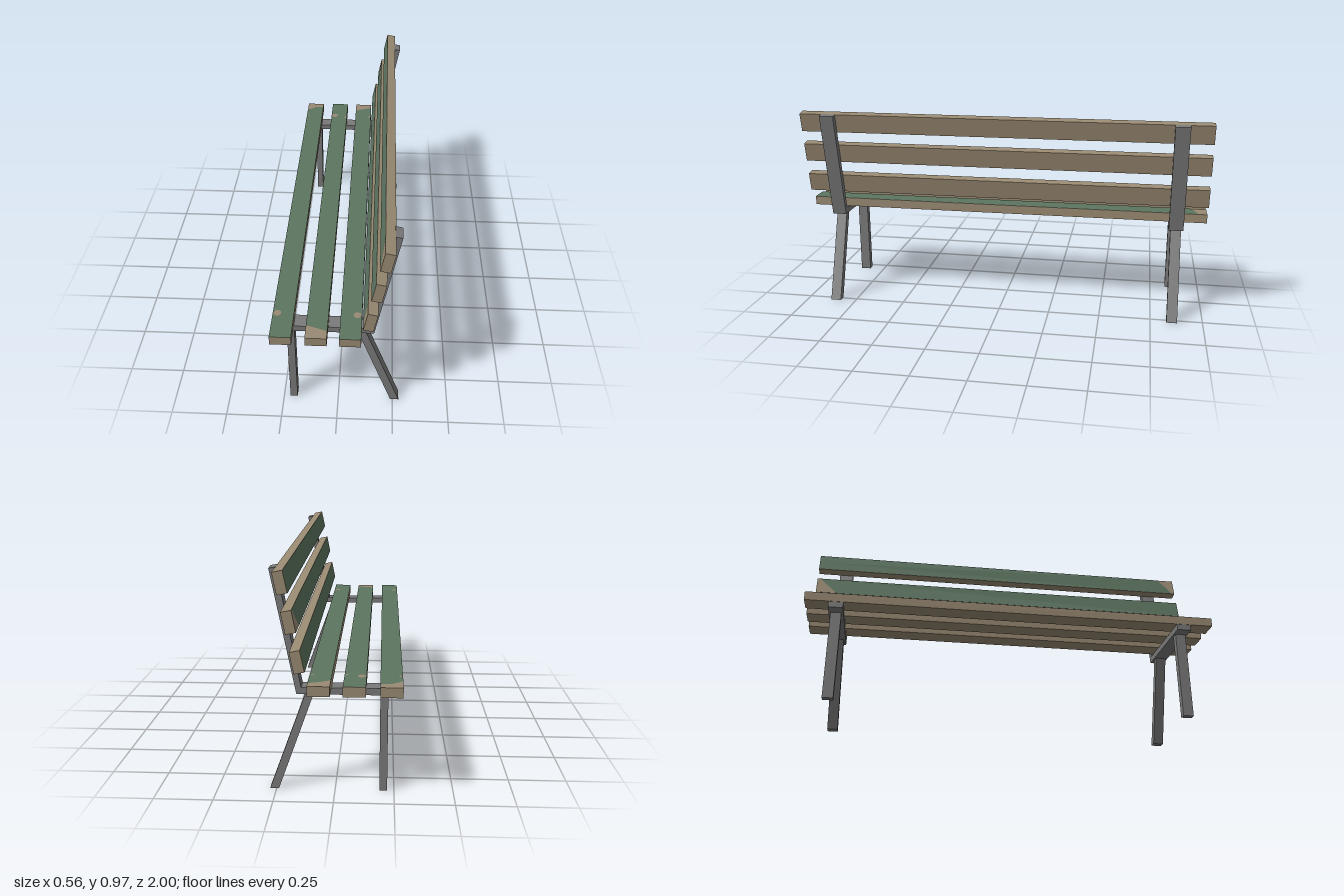
import * as THREE from 'three';

const wood = new THREE.MeshStandardMaterial({ color: 0x998a72 });
wood.name = 'bareWood';
const paint = new THREE.MeshStandardMaterial({ color: 0x5c7560 });
paint.name = 'greenPaint';
const metal = new THREE.MeshStandardMaterial({ color: 0x7b7a7b });
metal.name = 'greyMetal';

const W = 0.092, T = 0.043, L = 2;

// Paint film on a slat's upper face: start and end are z at the low, middle and high x
function paintGeometry(start, end, spots) {
  const xs = [-W / 2, 0, W / 2];
  const pts = [
    ...xs.map((x, i) => new THREE.Vector2(x, -end[i])),
    ...xs.map((x, i) => new THREE.Vector2(x, -start[i])).reverse(),
  ];
  const shape = new THREE.Shape(pts);
  // Worn spots show the wood below
  for (const [x, z, r] of spots) {
    shape.holes.push(new THREE.Path().absellipse(x, -z, r, r * 1.1, 0, Math.PI * 2, true));
  }
  return new THREE.ShapeGeometry(shape, 4).rotateX(-Math.PI / 2);
}

function slat(name, x, y, angle, start, end, spots = []) {
  const g = new THREE.Group();
  g.name = name;
  const board = new THREE.Mesh(new THREE.BoxGeometry(W, T, L), wood);
  board.name = name + 'Board';
  const film = new THREE.Mesh(paintGeometry(start, end, spots), paint);
  film.name = name + 'Paint';
  film.position.y = T / 2 + 0.001;
  g.add(board, film);
  g.position.set(x, y, 0);
  g.rotation.z = angle;
  return g;
}

// Side profile extruded along z, centred on zc
function bar(name, points, width, zc) {
  const shape = new THREE.Shape(points.map(([x, y]) => new THREE.Vector2(x, y)));
  const geo = new THREE.ExtrudeGeometry(shape, { depth: width, bevelEnabled: false });
  const m = new THREE.Mesh(geo, metal);
  m.name = name;
  m.position.z = zc - width / 2;
  return m;
}

export function createModel() {
  const bench = new THREE.Group();
  bench.name = 'bench';
  const lo = [-1, -1, -1], hi = [1, 1, 1];

  // Seat slats
  bench.add(
    slat('frontSeatSlat', -0.234, 0.4805, 0, [-0.92, -0.955, -0.962], hi,
      [[-0.026, 0.855, 0.017], [-0.036, -0.855, 0.007]]),
    slat('middleSeatSlat', -0.085, 0.4805, 0, lo, [0.925, 0.94, 0.955],
      [[-0.026, -0.86, 0.018], [0.036, -0.84, 0.007]]),
    slat('rearSeatSlat', 0.059, 0.4805, 0, [-0.92, -0.945, -0.96], hi,
      [[0.026, 0.855, 0.017], [0.036, -0.85, 0.008]]),
  );

  // Back slats, painted on the sitter's side
  const lean = 1.373;
  bench.add(
    slat('lowerBackSlat', 0.1425, 0.6005, lean, lo, [0.96, 0.95, 0.94]),
    slat('middleBackSlat', 0.1735, 0.762, lean, [-0.89, -0.94, -0.985], hi),
    slat('upperBackSlat', 0.2045, 0.919, lean, lo, [0.985, 0.95, 0.91]),
  );

  // Metal supports at both ends
  for (const s of [-1, 1]) {
    const z = s * 0.853;
    const support = new THREE.Group();
    support.name = s < 0 ? 'rearEndSupport' : 'frontEndSupport';
    support.add(
      bar('seatAndBackFrame', [[-0.278, 0.43], [0.158, 0.43], [0.262, 0.955],
        [0.232, 0.961], [0.138, 0.459], [-0.278, 0.459]], 0.07, z),
      bar('straightLeg', [[-0.221, 0], [-0.188, 0], [-0.188, 0.43], [-0.221, 0.43]], 0.051, z),
      bar('slantedLeg', [[0.24, 0], [0.278, 0], [0.122, 0.43], [0.087, 0.43]], 0.051, z),
    );
    bench.add(support);
  }
  return bench;
}
